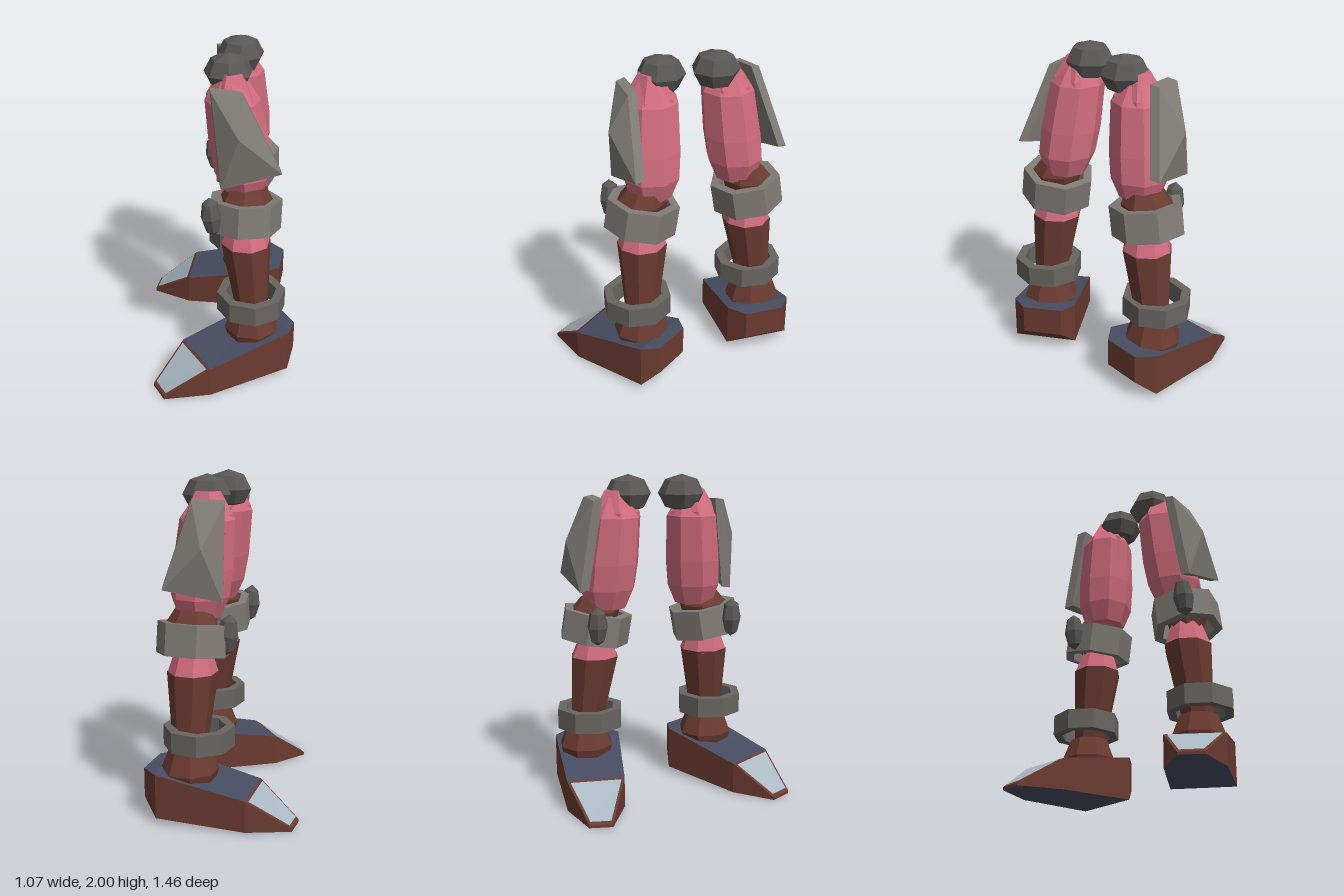
import * as THREE from 'three';

const mat = (name, color) => new THREE.MeshStandardMaterial({ name, color, flatShading: true });

// Flat-sided geometry from a list of convex polygons, each a counter-clockwise list of points
function polys(faces) {
  const pos = [];
  for (const f of faces)
    for (let i = 1; i < f.length - 1; i++) pos.push(...f[0], ...f[i], ...f[i + 1]);
  const g = new THREE.BufferGeometry();
  g.setAttribute('position', new THREE.Float32BufferAttribute(pos, 3));
  g.computeVertexNormals();
  return g;
}

// Faceted limb through rings [x, y, z, radius], listed from bottom to top
function limb(rings, sides, phase = 0) {
  const loops = rings.map(([x, y, z, r]) => Array.from({ length: sides }, (_, i) => {
    const a = -(i / sides) * Math.PI * 2 - phase;
    return [x + r * Math.cos(a), y, z + r * Math.sin(a)];
  }));
  const faces = [[...loops[0]].reverse(), loops[loops.length - 1]];
  for (let k = 0; k < loops.length - 1; k++)
    for (let i = 0; i < sides; i++) {
      const j = (i + 1) % sides;
      faces.push([loops[k][i], loops[k][j], loops[k + 1][j], loops[k + 1][i]]);
    }
  return polys(faces);
}

// Open band with a rectangular section
function band(outer, inner, height, sides) {
  const h = height / 2;
  const pts = [[outer, -h], [outer, h], [inner, h], [inner, -h], [outer, -h]];
  return new THREE.LatheGeometry(pts.map(p => new THREE.Vector2(...p)), sides);
}

// Pyramid-faced armour plate: four rim corners, a raised peak and a back offset
function plate(rim, peak, offset) {
  const back = rim.map(p => p.map((v, i) => v + offset[i]));
  const faces = [[...back].reverse()];
  rim.forEach((p, i) => {
    const j = (i + 1) % 4;
    faces.push([p, rim[j], peak], [back[i], back[j], rim[j], p]);
  });
  return polys(faces);
}

export function createModel() {
  const model = new THREE.Group();
  model.name = 'armouredLegs';
  const pink = mat('pink', 0xd06c7e);
  const brown = mat('brown', 0x6b3b31);
  const grey = mat('grey', 0x807b76);
  const midGrey = mat('midGrey', 0x686561);
  const darkGrey = mat('darkGrey', 0x5a5856);
  const navy = mat('navy', 0x474c61);
  const paleBlue = mat('paleBlue', 0xaab9c2);

  const legs = [
    {
      name: 'leftLeg', side: 1,
      ball: [0.08, 1.885, 0.075],
      thighTop: [0.11, 0.14], thighLow: [0.2, 0.17],
      knee: [0.22, 0.235], knob: [0.045, 1.11, 0.385],
      ankle: [0.27, 0.285], collar: [0.275, 0.26],
      rim: [[0.1, 1.29, 0.385], [0.44, 1.39, 0.32], [0.21, 1.83, 0.3], [0.03, 1.85, 0.325]],
      peak: [0.205, 1.62, 0.415], back: [-0.02, 0.01, -0.055],
      foot: [[-0.275, 0.615], [-0.18, 0.73], [0.09, 0.64], [0.515, 0.33],
        [0.535, 0.21], [0.38, 0.02], [0.27, 0.02], [-0.14, 0.38]],
    },
    {
      name: 'rightLeg', side: -1,
      ball: [0.09, 1.885, -0.25],
      thighTop: [0.055, -0.33], thighLow: [0.09, -0.39],
      knee: [0.1, -0.465], knob: [-0.11, 1.11, -0.46],
      ankle: [0.05, -0.51], collar: [0.1, -0.535],
      rim: [[0.2, 1.39, -0.67], [-0.12, 1.32, -0.56], [-0.1, 1.86, -0.47], [0.08, 1.87, -0.52]],
      peak: [-0.02, 1.62, -0.635], back: [0.02, 0.01, 0.055],
      foot: [[-0.535, -0.55], [-0.535, -0.41], [-0.27, -0.32], [0.25, -0.32],
        [0.35, -0.41], [0.345, -0.65], [0.24, -0.73], [-0.29, -0.67]],
    },
  ];

  for (const L of legs) {
    const leg = new THREE.Group();
    leg.name = L.name;
    model.add(leg);
    const add = (name, geometry, material, pos = [0, 0, 0]) => {
      const m = new THREE.Mesh(geometry, material);
      m.name = name;
      m.position.set(...pos);
      leg.add(m);
      return m;
    };
    // Ring centre on the straight line between two [x, z] points
    const ring = (a, b, t, y, r) =>
      [a[0] + (b[0] - a[0]) * t, y, a[1] + (b[1] - a[1]) * t, r];

    // Hip joint
    add('hipBall', new THREE.SphereGeometry(0.145, 7, 4).scale(1, 0.8, 1), darkGrey, L.ball);

    // Thigh: a broad faceted shell with a notched crown crossing its top
    const thigh = (t, y, r) => ring(L.thighLow, L.thighTop, t, y, r);
    add('thigh', limb([thigh(0, 1.19, 0.125), thigh(0.1, 1.31, 0.172), thigh(0.4, 1.47, 0.178),
      thigh(0.9, 1.75, 0.162), thigh(1, 1.87, 0.085)], 8, 0.2), pink);
    add('thighCrown', limb([thigh(0.7, 1.62, 0.155), thigh(0.95, 1.78, 0.15),
      thigh(1, 1.91, 0.075)], 5, 0.75), pink);
    add('thighPlate', plate(L.rim, L.peak, L.back), grey);

    // Knee
    const [kx, kz] = L.knee;
    add('kneeSleeve', limb([[kx, 0.98, kz, 0.1], [kx, 1.17, kz, 0.155],
      [kx, 1.25, kz - 0.02 * L.side, 0.11]], 7, 0.3), brown);
    const kneeBand = add('kneeBand', band(0.219, 0.165, 0.185, 7), grey, [kx - 0.005, 1.075, kz]);
    kneeBand.rotation.x = -0.16 * L.side;
    add('kneeKnob', new THREE.SphereGeometry(0.065, 7, 4).scale(1, 1.9, 1), darkGrey, L.knob)
      .rotation.z = 0.12;

    // Calf
    const calf = (t, y, r) => ring(L.collar, L.knee, t, y, r);
    add('calfTop', limb([calf(0.9, 0.87, 0.15), calf(1, 0.97, 0.118), calf(1, 1.06, 0.085)], 8, 0.39), pink);
    add('calf', limb([calf(0, 0.36, 0.09), calf(0.1, 0.45, 0.104), calf(0.9, 0.88, 0.152)], 8, 0.39), brown);

    // Ankle
    add('ankleBand', band(0.21, 0.155, 0.125, 8), midGrey, [L.ankle[0], 0.505, L.ankle[1]])
      .rotation.y = 0.3;
    const [cx, cz] = L.collar;
    add('bootCollar', limb([[cx, 0.22, cz, 0.15], [cx, 0.3, cz, 0.172], [cx, 0.43, cz, 0.122]], 8, 0.39), brown);

    // Foot: toe, cap edge, heel corners and the cut-off heel, from an outline with two heights
    const topY = [0.018, 0.018, 0.2, 0.31, 0.31, 0.31, 0.31, 0.2];
    const lowY = [0, 0, 0.008, 0.04, 0.13, 0.13, 0.04, 0.008];
    const top = L.foot.map(([x, z], i) => [x, topY[i], z]);
    const low = L.foot.map(([x, z], i) => [x, lowY[i], z]);
    const pick = (src, ids) => ids.map(i => src[i]);
    const walls = top.map((p, i) => {
      const j = (i + 1) % 8;
      return [low[i], low[j], top[j], p];
    });
    const cap = pick(top, [0, 1, 2, 7]);
    add('bootSides', polys([...walls, pick(low, [3, 6, 5, 4]), cap]), brown);
    add('bootTop', polys([pick(top, [2, 3, 6, 7]), pick(top, [3, 4, 5, 6])]), navy);
    add('bootSole', polys([pick(low, [0, 7, 6, 3, 2, 1])]), navy);

    // Toe plate, inset on the sloping cap
    const mid = [0, 1, 2].map(k => cap.reduce((s, p) => s + p[k] / 4, 0));
    const inset = cap.map(p => p.map((v, k) => mid[k] + (v - mid[k]) * 0.88 + (k === 1 ? 0.005 : 0)));
    add('toePlate', polys([inset]), paleBlue);
  }
  return model;
}
